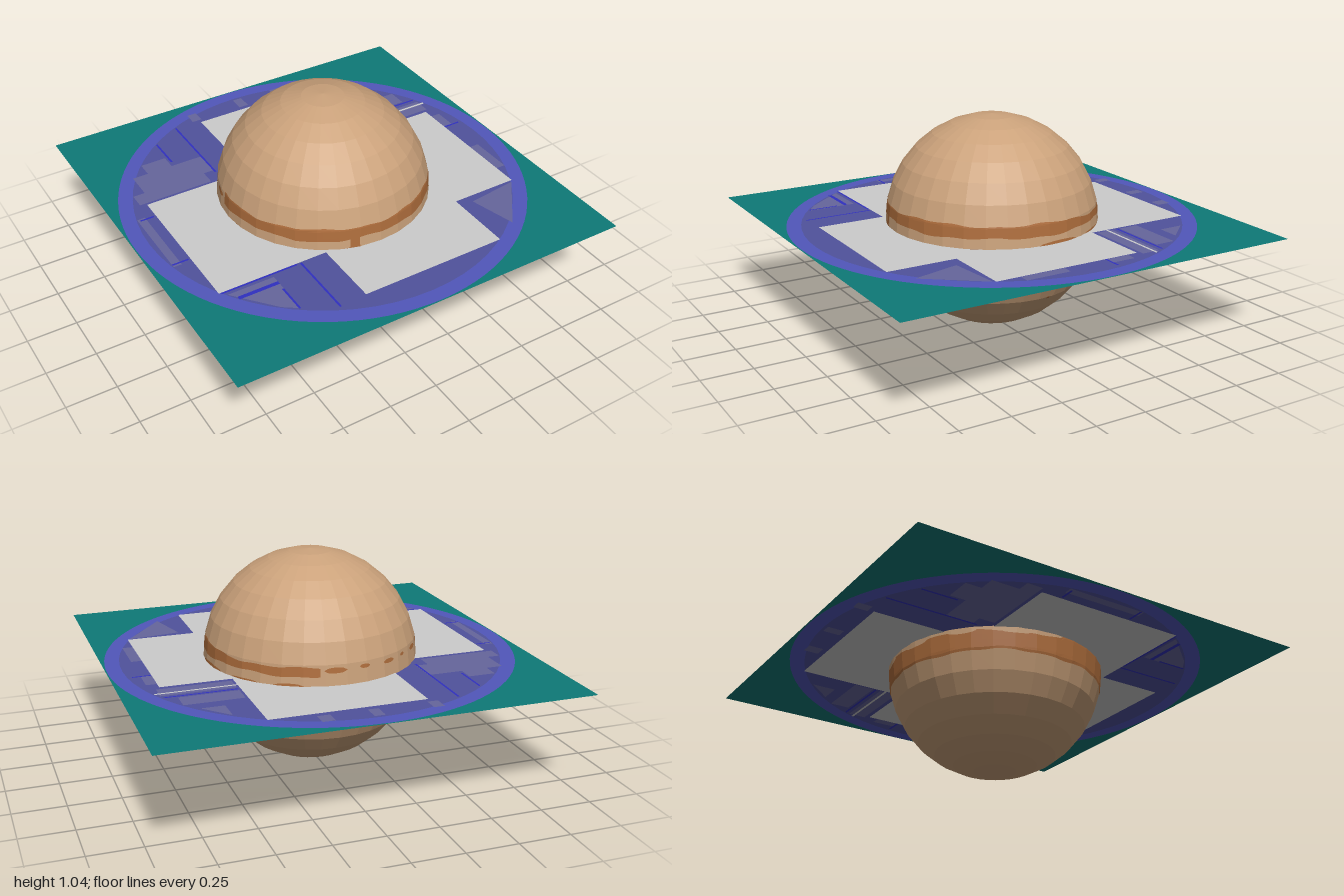
import * as THREE from 'three';

const R = 0.52, CY = 0.52, COLS = 32, ROWS = 16;
const mat = (name, color, opts = {}) => {
  const m = new THREE.MeshStandardMaterial({ color, ...opts });
  m.name = name;
  return m;
};

// Point on the faceted ball: longitude in degrees (0 = front, 90 = +x), y from the ball's centre
function ballPoint(lon, y) {
  const step = 360 / COLS;
  const a = Math.floor(lon / step) * step, t = (lon - a) / step;
  const row = Math.floor(Math.acos(y / R) / Math.PI * ROWS);
  const p0 = row * Math.PI / ROWS, p1 = (row + 1) * Math.PI / ROWS;
  const k = (R * Math.cos(p0) - y) / (R * Math.cos(p0) - R * Math.cos(p1));
  const r = R * THREE.MathUtils.lerp(Math.sin(p0), Math.sin(p1), k);
  const at = (d) => [Math.sin(d * Math.PI / 180), Math.cos(d * Math.PI / 180)];
  const [x0, z0] = at(a), [x1, z1] = at(a + step);
  return [r * (x0 + (x1 - x0) * t), y, r * (z0 + (z1 - z0) * t)];
}

// Painted strip on the ball between two heights, given as functions of longitude
function strip(from, to, low, high, lift = 1.003) {
  const n = Math.max(6, Math.round((to - from) / 2.8125)), levels = 8;
  const pos = [], index = [];
  for (let i = 0; i <= n; i++) {
    const lon = from + (to - from) * i / n, lo = low(lon), hi = high(lon);
    for (let j = 0; j <= levels; j++) {
      pos.push(...ballPoint(lon, lo + (hi - lo) * j / levels).map((v) => v * lift));
      if (i < n && j < levels) {
        const a = i * (levels + 1) + j, b = a + levels + 1;
        index.push(a, b, b + 1, a, b + 1, a + 1);
      }
    }
  }
  const g = new THREE.BufferGeometry();
  g.setAttribute('position', new THREE.Float32BufferAttribute(pos, 3));
  g.setIndex(index);
  g.computeVertexNormals();
  return g;
}

// Lens-shaped spot: centre longitude, height, half width in degrees, half height
const spot = (lon, y, w, h, lift) => {
  const half = (d) => h * Math.sqrt(Math.max(0, 1 - ((d - lon) / w) ** 2)) + 0.0005;
  return strip(lon - w, lon + w, (d) => y - half(d), (d) => y + half(d), lift);
};

export function createModel() {
  const model = new THREE.Group();
  const flat = { flatShading: true }, both = { side: THREE.DoubleSide };
  const tan = mat('tan', 0xcba27b, flat);
  const rust = mat('rust', 0xae6d3c, flat);
  const teal = mat('teal', 0x0e7a77, both);
  const violet = mat('violet blue', 0x5157bb, both);
  const dusk = mat('dusk blue', 0x50529c, both);
  const slate = mat('slate violet', 0x66669c, both);
  const blue = mat('bright blue', 0x3030c0, both);
  const grey = mat('light grey', 0xcccccc, both);

  // Ball with its painted belts
  const ball = new THREE.Group();
  ball.name = 'ball';
  ball.position.y = CY;
  model.add(ball);
  const paint = (name, geometry, material) => {
    const m = new THREE.Mesh(geometry, material);
    m.name = name;
    ball.add(m);
  };
  paint('ballBody', new THREE.SphereGeometry(R, COLS, ROWS), tan);

  const wave = (d, s) => 0.004 * Math.sin(d * 0.1 + s) + 0.003 * Math.sin(d * 0.27 + 2 * s);
  const fade = (d) => THREE.MathUtils.smoothstep(d, 70, 150);
  paint('lowerBelt', strip(-180, 180,
    (d) => -0.113 + wave(d, 1) * 0.9,
    (d) => (Math.abs(d + 15) < 70 ? 0 : -0.02) + wave(d, 3)), rust);
  paint('upperBelt', strip(-96, 166,
    (d) => 0.05 + wave(d, 2),
    (d) => 0.108 - 0.02 * fade(d) + wave(d, 5)), rust);
  paint('beltBridge', strip(-17, -12, () => -0.005, () => 0.06), rust);

  // Broken dashes on the back and small streaks below the belts
  for (const [lon, y, w, h] of [
    [174, 0.075, 6, 0.013], [190, 0.08, 3, 0.009], [206, 0.075, 4, 0.01], [218, 0.08, 2, 0.007],
    [232, 0.078, 4, 0.011], [246, 0.08, 3, 0.01], [257, 0.078, 5, 0.013],
    [97, -0.212, 7, 0.008], [97, -0.29, 1.2, 0.006],
    [96, 0.0, 13, 0.018], [125, 0.0, 10, 0.012], [150, 0.004, 8, 0.012],
  ]) paint('dash', spot(lon, y, w, h, 1.003), rust);
  for (const [lon, y, w, h] of [
    [113, -0.012, 7, 0.01], [137, -0.016, 9, 0.012], [165, -0.02, 8, 0.012],
    [192, -0.018, 9, 0.014], [220, -0.018, 8, 0.012], [248, -0.018, 9, 0.013],
  ]) paint('paleStreak', spot(lon, y, w, h, 1.006), tan);

  // Flat sheet through the ball's middle, painted alike on both faces
  const sheet = new THREE.Group();
  sheet.name = 'sheet';
  sheet.position.y = CY;
  model.add(sheet);
  const layer = (name, geometry, material, height) => {
    geometry.rotateX(-Math.PI / 2);
    for (const side of [1, -1]) {
      const m = new THREE.Mesh(geometry, material);
      m.name = name;
      m.position.y = side * height;
      sheet.add(m);
    }
  };
  // Rectangle given by its x and z limits
  const rect = (x0, x1, z0, z1) =>
    new THREE.PlaneGeometry(x1 - x0, z1 - z0).translate((x0 + x1) / 2, -(z0 + z1) / 2, 0);
  // Polygon given by x, z pairs
  const poly = (pts) => new THREE.ShapeGeometry(
    new THREE.Shape(pts.map(([x, z]) => new THREE.Vector2(x, -z))));

  layer('square', rect(-1, 1, -1, 1), teal, 0);
  layer('disc', new THREE.CircleGeometry(0.995, 96), violet, 0.001);
  layer('innerDisc', new THREE.CircleGeometry(0.925, 64), dusk, 0.002);

  // Slate patches between the arms
  for (const [x0, x1, z0, z1] of [
    [-0.78, -0.4, -0.52, -0.38], [-0.84, -0.46, -0.38, -0.3], [-0.7, -0.57, -0.6, -0.52],
    [0.48, 0.76, -0.52, -0.42], [0.48, 0.83, -0.38, -0.29], [0.81, 0.86, -0.22, -0.1],
    [0.81, 0.86, 0.12, 0.34], [-0.9, -0.86, -0.2, 0.2],
    [-0.3, -0.25, -0.9, -0.83], [-0.02, 0.03, -0.91, -0.83], [0.2, 0.26, -0.9, -0.83],
  ]) layer('slatePatch', rect(x0, x1, z0, z1), slate, 0.003);
  for (const pts of [
    [[0.59, -0.7], [0.59, -0.58], [0.7, -0.58]],
    [[0.54, 0.5], [0.8, 0.47], [0.6, 0.73]],
    [[-0.78, 0.49], [-0.55, 0.49], [-0.55, 0.73], [-0.62, 0.68]],
  ]) layer('slateWedge', poly(pts), slate, 0.003);

  // Thin bright lines
  for (const [x0, x1, z0, z1] of [
    [-0.56, -0.55, -0.73, -0.55], [-0.41, -0.4, -0.82, -0.36], [-0.8, -0.42, 0.465, 0.475],
    [-0.75, -0.55, 0.525, 0.545], [-0.56, -0.55, 0.58, 0.73], [-0.405, -0.395, 0.47, 0.81],
    [0.48, 0.82, -0.41, -0.4], [-0.9, -0.82, 0.18, 0.19], [-0.89, -0.82, -0.19, -0.18],
    [0.81, 0.9, -0.105, -0.095],
  ]) layer('brightLine', rect(x0, x1, z0, z1), blue, 0.004);
  layer('greyLine', rect(0.47, 0.85, -0.358, -0.346), grey, 0.004);

  // Broad cross, slightly off centre
  layer('cross', poly([
    [-0.265, -0.805], [0.47, -0.805], [0.47, -0.27], [0.81, -0.27], [0.81, 0.46], [0.47, 0.46],
    [0.47, 0.8], [-0.265, 0.8], [-0.265, 0.465], [-0.81, 0.465], [-0.81, -0.285], [-0.265, -0.285],
  ]), grey, 0.0045);

  return model;
}
